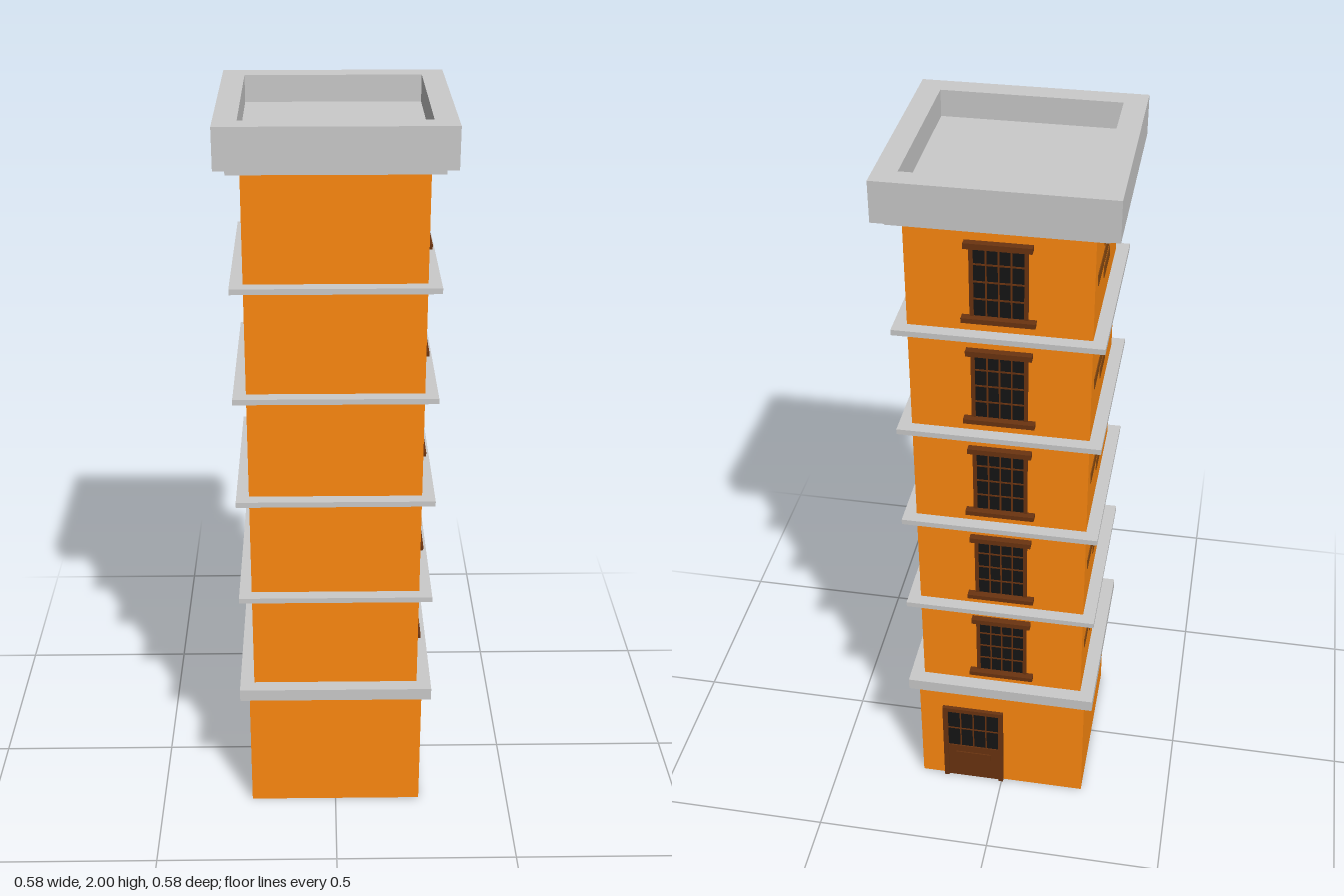
import * as THREE from 'three';

const mat = (color) => new THREE.MeshStandardMaterial({ color });
const stone = mat(0xcccccc);
const wall = mat(0xff8a10);
const wood = mat(0x6b3410);
const brickMat = mat(0x8a4a10);
const glass = mat(0x151515);

const BASE = 0.485, BODY = 0.457, FLOORS = 5, STOREY = 0.2965, BASE_TOP = 0.405;

// Box given its size, centre in x and z, and bottom height
function box(parent, name, material, w, h, d, x, y, z) {
  const mesh = new THREE.Mesh(new THREE.BoxGeometry(w, h, d), material);
  mesh.name = name;
  mesh.position.set(x, y + h / 2, z);
  parent.add(mesh);
  return mesh;
}

// Glazing with a grid of bars, facing +z, standing on y = 0
function glazing(parent, w, h, cols, rows, y = 0) {
  box(parent, 'pane', glass, w, h, 0.002, 0, y, 0.001);
  for (let i = 1; i < cols; i++) {
    box(parent, 'verticalBar', wood, 0.004, h, 0.004, -w / 2 + (w * i) / cols, y, 0.002);
  }
  for (let j = 1; j < rows; j++) {
    box(parent, 'horizontalBar', wood, w, 0.004, 0.004, 0, y + (h * j) / rows - 0.002, 0.002);
  }
}

// Barred window with frame, lintel and sill, facing +z
function makeWindow() {
  const g = new THREE.Group();
  g.name = 'window';
  const w = 0.143, h = 0.187, t = 0.01;
  glazing(g, w - 2 * t, h, 4, 4);
  for (const s of [-1, 1]) {
    box(g, 'jamb', wood, t, h, 0.006, s * (w - t) / 2, 0, 0.003);
  }
  box(g, 'sill', wood, 0.182, 0.013, 0.021, 0, -0.013, 0.0105);
  box(g, 'lintel', wood, 0.165, 0.015, 0.019, 0, h, 0.0095);
  return g;
}

// Half-glazed door, facing +z
function makeDoor() {
  const g = new THREE.Group();
  g.name = 'door';
  const w = 0.18, h = 0.29, t = 0.014;
  for (const s of [-1, 1]) {
    box(g, 'doorJamb', wood, t, h, 0.011, s * (w - t) / 2, 0, 0.0055);
  }
  box(g, 'doorHead', wood, w - 2 * t, t, 0.011, 0, h - t, 0.0055);
  box(g, 'doorLeaf', wood, w - 2 * t, 0.13, 0.005, 0, 0, 0.0025);
  box(g, 'doorPanel', wood, 0.105, 0.085, 0.003, 0, 0.02, 0.0065);
  glazing(g, w - 2 * t, h - t - 0.13, 4, 2, 0.13);
  return g;
}

// Patch of exposed bricks: [centre, row, length], facing +z
function makeBricks() {
  const g = new THREE.Group();
  g.name = 'exposedBricks';
  const layout = [[-0.01, 1, 0.11], [-0.127, 0, 0.1], [0.046, 0, 0.22], [0, -1, 0.11]];
  for (const [x, row, len] of layout) {
    box(g, 'brick', brickMat, len, 0.033, 0.002, x, row * 0.048 - 0.0165, 0.001);
  }
  return g;
}

export function createModel() {
  const tower = new THREE.Group();
  tower.name = 'tower';

  // Ground floor and shaft
  box(tower, 'groundFloor', wall, BASE, 0.37, BASE, 0, 0, 0);
  box(tower, 'baseLedge', stone, 0.535, BASE_TOP - 0.37, 0.535, 0, 0.37, 0);
  const shaftHeight = 1.878 - BASE_TOP;
  box(tower, 'shaft', wall, BODY, shaftHeight, BODY, 0, BASE_TOP, 0);

  // Storeys: ledge above each, windows on two sides, bricks on a third
  for (let i = 0; i < FLOORS; i++) {
    const y = BASE_TOP + i * STOREY;
    const top = i === FLOORS - 1;
    box(tower, 'floorLedge', stone, 0.524, top ? 0.019 : 0.015, 0.524, 0, y + 0.284 + (top ? 0.003 : 0), 0);

    const side = makeWindow();
    side.rotation.y = Math.PI / 2;
    side.position.set(BODY / 2, y + 0.046, -0.028);
    const back = makeWindow();
    back.rotation.y = Math.PI;
    back.position.set(0, y + 0.046, -BODY / 2);
    const bricks = makeBricks();
    bricks.rotation.y = -Math.PI / 2;
    bricks.position.set(-BODY / 2, y + 0.141, 0);
    tower.add(side, back, bricks);
  }

  // Door at the back
  const door = makeDoor();
  door.rotation.y = Math.PI;
  door.position.set(0.085, 0, -BASE / 2);
  tower.add(door);

  // Roof slab and parapet ring
  const R = 0.289, r = 0.231, roofY = 1.93;
  box(tower, 'roofSlab', stone, 2 * R, roofY - 1.895, 2 * R, 0, 1.895, 0);
  const square = (Type, s) => new Type([
    new THREE.Vector2(-s, -s), new THREE.Vector2(s, -s), new THREE.Vector2(s, s), new THREE.Vector2(-s, s),
  ]);
  const ring = square(THREE.Shape, R);
  ring.holes.push(square(THREE.Path, r));
  const geo = new THREE.ExtrudeGeometry(ring, { depth: 2 - roofY, bevelEnabled: false });
  geo.rotateX(-Math.PI / 2);
  const parapet = new THREE.Mesh(geo, stone);
  parapet.name = 'parapet';
  parapet.position.y = roofY;
  tower.add(parapet);

  return tower;
}
